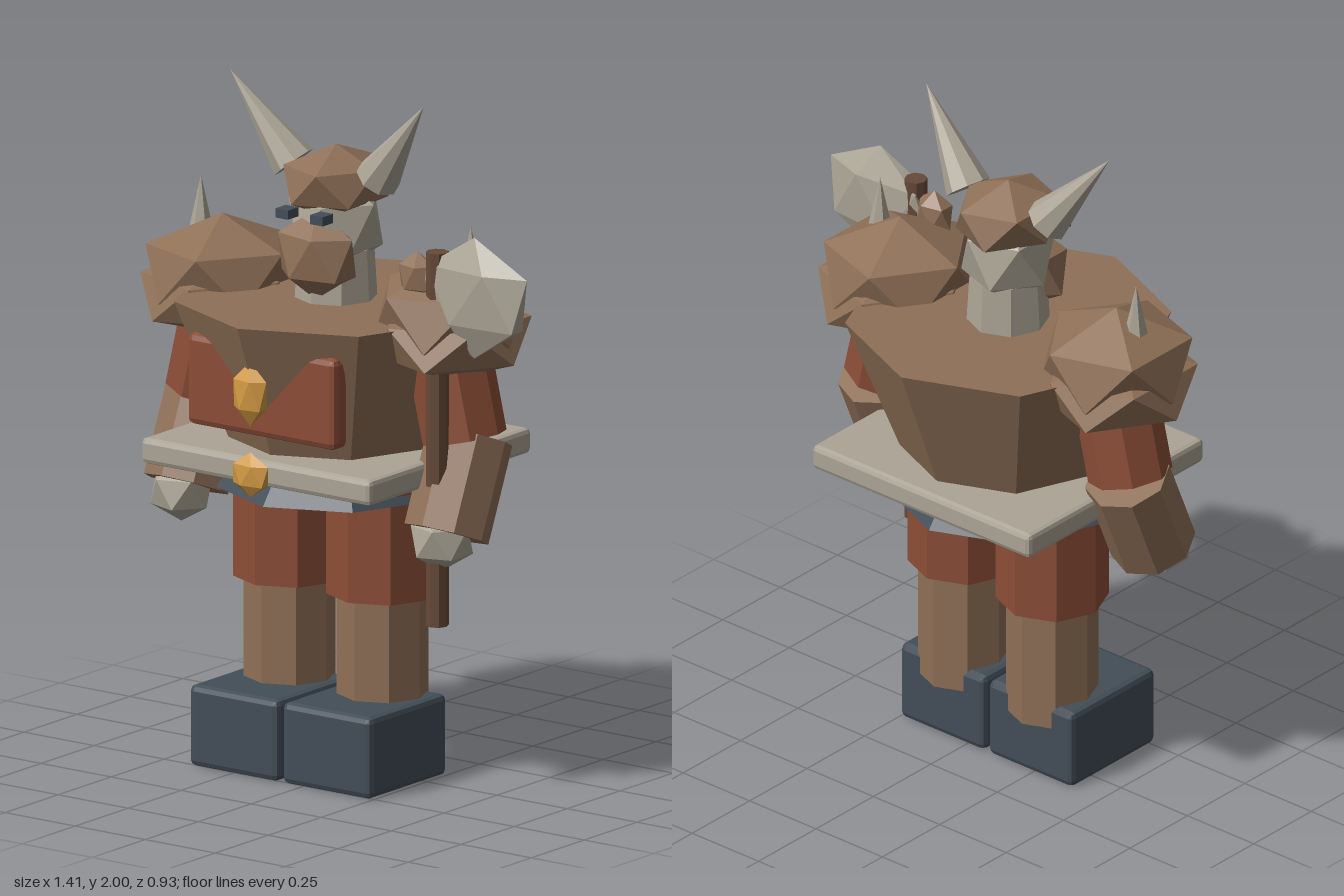
import * as THREE from 'three';
import { RoundedBoxGeometry } from 'three/addons/geometries/RoundedBoxGeometry.js';

const CX = -0.075; // body centre line; the weapon makes the model wider on its left

function flat(name, color) {
  const m = new THREE.MeshStandardMaterial({ color, flatShading: true });
  m.name = name;
  return m;
}

export function createModel() {
  const model = new THREE.Group();
  model.name = 'hornedWarrior';
  const leather = flat('leather brown', 0x8f7057);
  const cloth = flat('rust red', 0x8c4e37);
  const bone = flat('bone grey', 0xaca596);
  const slate = flat('slate blue', 0x434e58);
  const gold = flat('gold', 0xd39a43);
  const wood = flat('dark wood', 0x664a38);

  function add(name, geometry, material, x, y, z) {
    const mesh = new THREE.Mesh(geometry, material);
    mesh.name = name;
    mesh.position.set(x, y, z);
    model.add(mesh);
    return mesh;
  }

  // Faceted lump: icosahedron standing on a corner, turned around for the other side
  function lump(name, material, x, y, z, rx, ry, rz, side = 1) {
    const g = new THREE.IcosahedronGeometry(1, 0);
    g.rotateZ(Math.atan(2 / (1 + Math.sqrt(5))));
    if (side > 0) g.rotateY(Math.PI);
    g.scale(rx, ry, rz);
    return add(name, g, material, x, y, z);
  }

  // Upright prism between two heights
  function prism(name, material, x, y0, y1, z, r0, r1 = r0, sides = 8) {
    return add(name, new THREE.CylinderGeometry(r1, r0, y1 - y0, sides), material, x, (y0 + y1) / 2, z);
  }

  // Box with bevelled edges
  function slab(name, material, x, y, z, w, h, d, bevel) {
    return add(name, new RoundedBoxGeometry(w, h, d, 1, bevel), material, x, y, z);
  }

  // Cone from a base point to a tip
  function spike(name, material, base, tip, r, sides) {
    const a = new THREE.Vector3(...base);
    const b = new THREE.Vector3(...tip);
    const dir = b.clone().sub(a);
    const mid = a.clone().add(b).multiplyScalar(0.5);
    const mesh = add(name, new THREE.ConeGeometry(r, dir.length(), sides), material, mid.x, mid.y, mid.z);
    mesh.quaternion.setFromUnitVectors(new THREE.Vector3(0, 1, 0), dir.normalize());
  }

  // Trunk, belt and chest plate
  prism('torso', leather, CX, 0.9, 1.38, 0, 0.28, 0.466);
  prism('skirt', slate, CX, 0.83, 0.95, 0, 0.345, 0.255);
  slab('belt', bone, CX - 0.002, 0.938, -0.003, 0.82, 0.076, 0.765, 0.015);
  slab('chestPlate', cloth, CX, 1.17, 0.324, 0.53, 0.27, 0.068, 0.02);
  lump('chestGem', gold, CX, 1.175, 0.405, 0.064, 0.095, 0.036);
  lump('beltGem', gold, CX, 0.937, 0.404, 0.07, 0.066, 0.028);

  // Head
  prism('neck', bone, CX, 1.36, 1.53, 0, 0.12, 0.11);
  lump('head', bone, CX, 1.6, 0, 0.15, 0.15, 0.15);
  lump('helmet', leather, CX, 1.72, 0, 0.16, 0.108, 0.182);
  lump('beard', leather, CX, 1.52, 0.09, 0.14, 0.135, 0.095);

  for (const s of [-1, 1]) {
    const at = (offset) => CX + s * offset;
    const label = s > 0 ? 'left' : 'right';

    // Eye and horn
    add(label + 'Eye', new THREE.BoxGeometry(0.045, 0.027, 0.05), slate, at(0.062), 1.647, 0.15);
    spike(label + 'Horn', bone, [at(0.15), 1.75, 0], [at(0.345), 2, 0.042], 0.067, 8);

    // Leg
    const legX = at(0.166);
    prism(label + 'Thigh', cloth, legX, 0.535, 0.86, 0, 0.162);
    prism(label + 'Shin', leather, legX, 0.17, 0.6, 0, 0.132);
    slab(label + 'Boot', slate, legX, 0.12, 0.085, 0.317, 0.24, 0.366, 0.018);

    // Layered shoulder guard with a spike
    lump(label + 'ShoulderTop', leather, at(0.407), 1.397, 0, 0.24, 0.163, 0.25, -s);
    lump(label + 'ShoulderRim', leather, at(0.42), 1.33, 0, 0.24, 0.125, 0.265, -s);
    spike(label + 'ShoulderSpike', bone, [at(0.482), 1.44, 0], [at(0.482), 1.66, 0], 0.048, 6);

    // Arm: upper part leans outwards, forearm swings forwards
    const upper = prism(label + 'UpperArm', cloth, at(0.42), 1.03, 1.38, 0, 0.122);
    upper.rotation.z = s * 0.23;
    const fore = prism(label + 'Forearm', leather, at(0.465), 0.76, 1.05, 0.037, 0.125);
    fore.rotation.x = -0.4;
    lump(label + 'Hand', bone, at(0.465), 0.76, 0.115, 0.1, 0.092, 0.098, s);
  }

  // Hammer held at the left side
  prism('hammerHandle', wood, 0.385, 0.51, 1.61, 0.13, 0.033);
  lump('hammerHead', bone, 0.515, 1.493, 0.127, 0.21, 0.178, 0.049);
  lump('hammerBackKnob', leather, 0.31, 1.525, 0.125, 0.065, 0.075, 0.046);

  return model;
}
